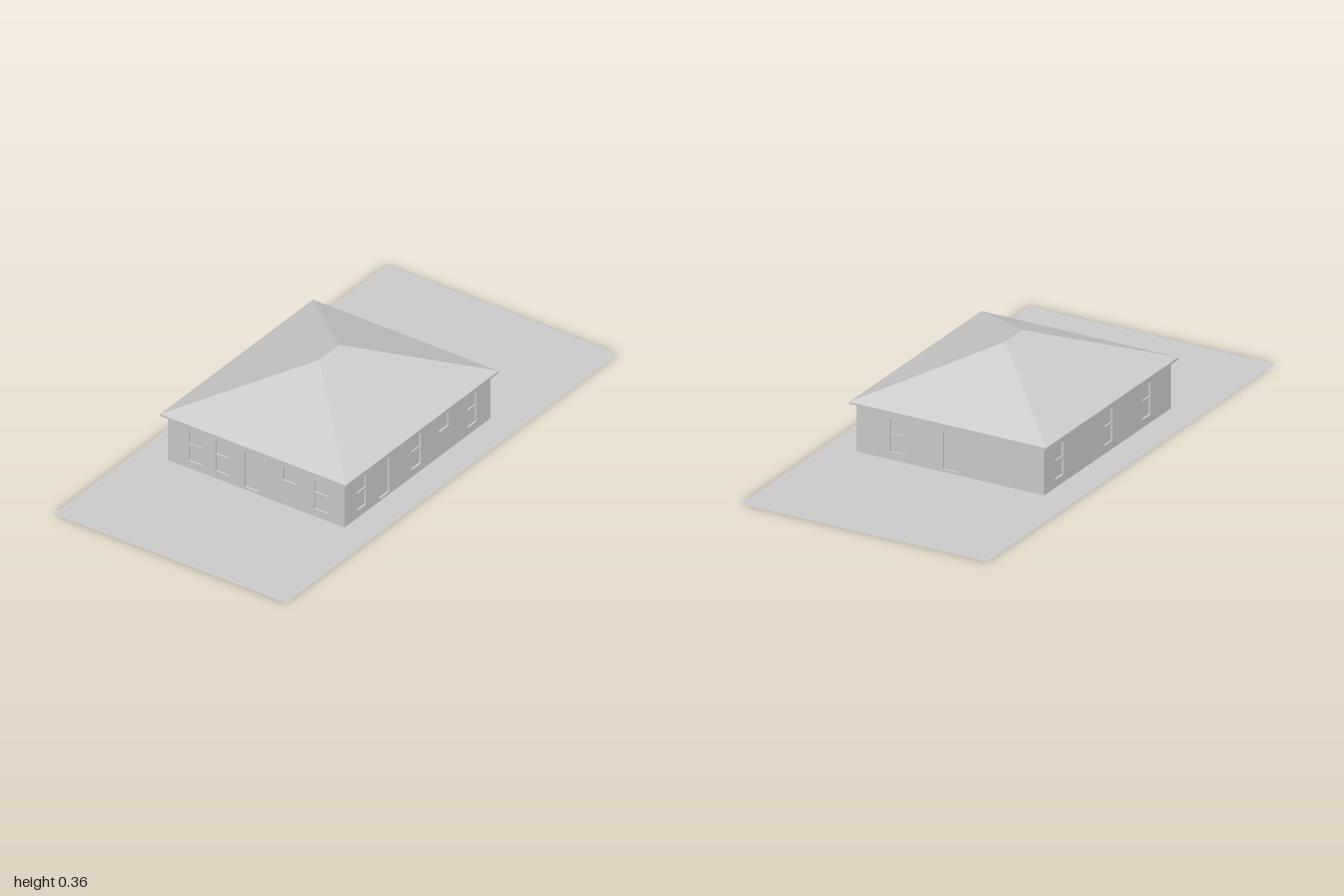
import * as THREE from 'three';

const RECESS = 0.008;
const WALL_H = 0.185;
const X = 0.38, Z_FRONT = 0.48, Z_BACK = -0.4;
const Z_MID = (Z_FRONT + Z_BACK) / 2;

// Opening kinds: [sill height, head height, has a crossbar]
const KINDS = {
  window: [0.03, 0.155, true],
  small: [0.1, 0.155, false],
  door: [0.01, 0.155, false],
};

function rect(path, x0, y0, x1, y1) {
  path.moveTo(x0, y0);
  path.lineTo(x1, y0);
  path.lineTo(x1, y1);
  path.lineTo(x0, y1);
  path.closePath();
  return path;
}

export function createModel() {
  const grey = new THREE.MeshStandardMaterial({ color: 0xcccccc, side: THREE.DoubleSide });
  grey.name = 'plaster grey';
  const model = new THREE.Group();
  model.name = 'house';

  const add = (parent, name, geometry, x = 0, y = 0, z = 0) => {
    const mesh = new THREE.Mesh(geometry, grey);
    mesh.name = name;
    mesh.position.set(x, y, z);
    parent.add(mesh);
    return mesh;
  };

  // Flat plot of land
  add(model, 'ground', new THREE.PlaneGeometry(1, 2).rotateX(-Math.PI / 2));

  // Inner body, forming the recessed panes and door leaves
  const bodyW = 2 * (X - RECESS), bodyD = Z_FRONT - Z_BACK - 2 * RECESS;
  add(model, 'innerBody', new THREE.BoxGeometry(bodyW, WALL_H, bodyD), 0, WALL_H / 2, Z_MID);

  // Outer wall skin with openings; each opening is [kind, left edge, right edge]
  function wall(name, u0, u1, openings, x, z, turn) {
    const group = new THREE.Group();
    group.name = name;
    group.position.set(x, 0, z);
    group.rotation.y = turn;
    const shape = rect(new THREE.Shape(), u0, 0, u1, WALL_H);
    for (const [kind, a, b] of openings) {
      const [sill, head, bar] = KINDS[kind];
      shape.holes.push(rect(new THREE.Path(), a, sill, b, head));
      if (bar) {
        add(group, 'windowBar', new THREE.BoxGeometry(b - a, 0.006, RECESS * 0.8),
          (a + b) / 2, (sill + head) / 2 + 0.005, -RECESS * 0.6);
      }
    }
    const skin = new THREE.ExtrudeGeometry(shape, { depth: RECESS, bevelEnabled: false });
    add(group, 'wallSkin', skin, 0, 0, -RECESS);
    model.add(group);
  }

  wall('frontWall', -X, X, [
    ['window', -0.29, -0.235], ['window', -0.175, -0.115], ['door', -0.05, 0.01],
    ['small', 0.115, 0.17], ['window', 0.25, 0.31],
  ], 0, Z_FRONT, 0);
  wall('backWall', -X, X, [
    ['window', -0.245, -0.185], ['door', -0.03, 0.03],
  ], 0, Z_BACK, Math.PI);
  // Side walls fit between the front and back skins
  wall('leftWall', -Z_FRONT + RECESS, -Z_BACK - RECESS, [
    ['window', -0.405, -0.35], ['door', -0.27, -0.21], ['window', -0.075, -0.02],
    ['small', 0.09, 0.145], ['window', 0.26, 0.315],
  ], X, 0, Math.PI / 2);
  wall('rightWall', Z_BACK + RECESS, Z_FRONT - RECESS, [
    ['window', -0.32, -0.265], ['window', 0.02, 0.075], ['window', 0.285, 0.34],
  ], -X, 0, -Math.PI / 2);

  // Eave slab
  add(model, 'eaves', new THREE.BoxGeometry(0.8, 0.008, 0.92), 0, 0.189, Z_MID);

  // Hipped roof with a short ridge
  const y = 0.193, top = 0.36;
  const fl = [-0.4, y, 0.5], fr = [0.4, y, 0.5], br = [0.4, y, -0.42], bl = [-0.4, y, -0.42];
  const rf = [0, top, 0.1], rb = [0, top, -0.02];
  const faces = [fl, fr, rf, br, bl, rb, fr, br, rb, fr, rb, rf, bl, fl, rf, bl, rf, rb];
  const roof = new THREE.BufferGeometry();
  roof.setAttribute('position', new THREE.Float32BufferAttribute(faces.flat(), 3));
  roof.computeVertexNormals();
  add(model, 'roof', roof);

  return model;
}
